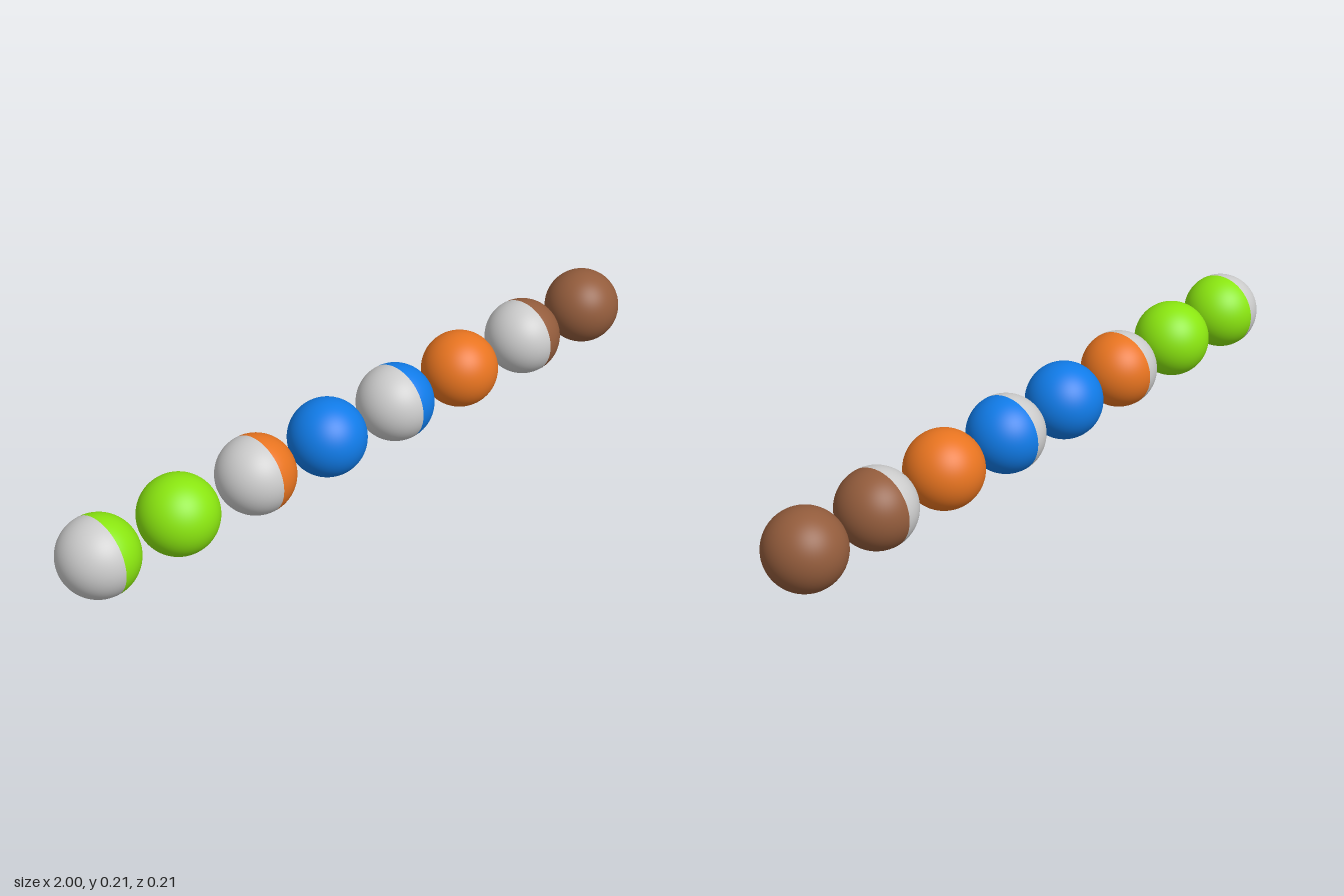
import * as THREE from 'three';

const R = 0.106;
const GREY = 0xcccccc, GREEN = 0x8ae610, BLUE = 0x107be8, ORANGE = 0xe87420, BROWN = 0x935c3c;

// One row of balls: centre x, colour, and whether the -x half is grey
const BALLS = [
  { name: 'greenHalfBall', x: -0.894, color: GREEN, half: true },
  { name: 'greenBall', x: -0.64, color: GREEN },
  { name: 'orangeHalfBall', x: -0.381, color: ORANGE, half: true },
  { name: 'blueBall', x: -0.128, color: BLUE },
  { name: 'blueHalfBall', x: 0.125, color: BLUE, half: true },
  { name: 'orangeBall', x: 0.378, color: ORANGE },
  { name: 'brownHalfBall', x: 0.637, color: BROWN, half: true },
  { name: 'brownBall', x: 0.894, color: BROWN },
];

function shell(name, color, phiStart, phiLength) {
  const segments = Math.round((phiLength / Math.PI) * 32);
  const geometry = new THREE.SphereGeometry(R, segments, 40, phiStart, phiLength);
  const mesh = new THREE.Mesh(geometry, new THREE.MeshStandardMaterial({ color }));
  mesh.name = name;
  return mesh;
}

export function createModel() {
  const model = new THREE.Group();
  model.name = 'ballRow';
  for (const { name, x, color, half } of BALLS) {
    const ball = new THREE.Group();
    ball.name = name;
    ball.position.set(x, R, 0);
    if (half) {
      // Two hemispheres meeting on the plane through the ball's centre
      ball.add(shell('greyHalf', GREY, -Math.PI / 2, Math.PI));
      ball.add(shell('colouredHalf', color, Math.PI / 2, Math.PI));
    } else {
      ball.add(shell('solidBall', color, 0, Math.PI * 2));
    }
    model.add(ball);
  }
  return model;
}
